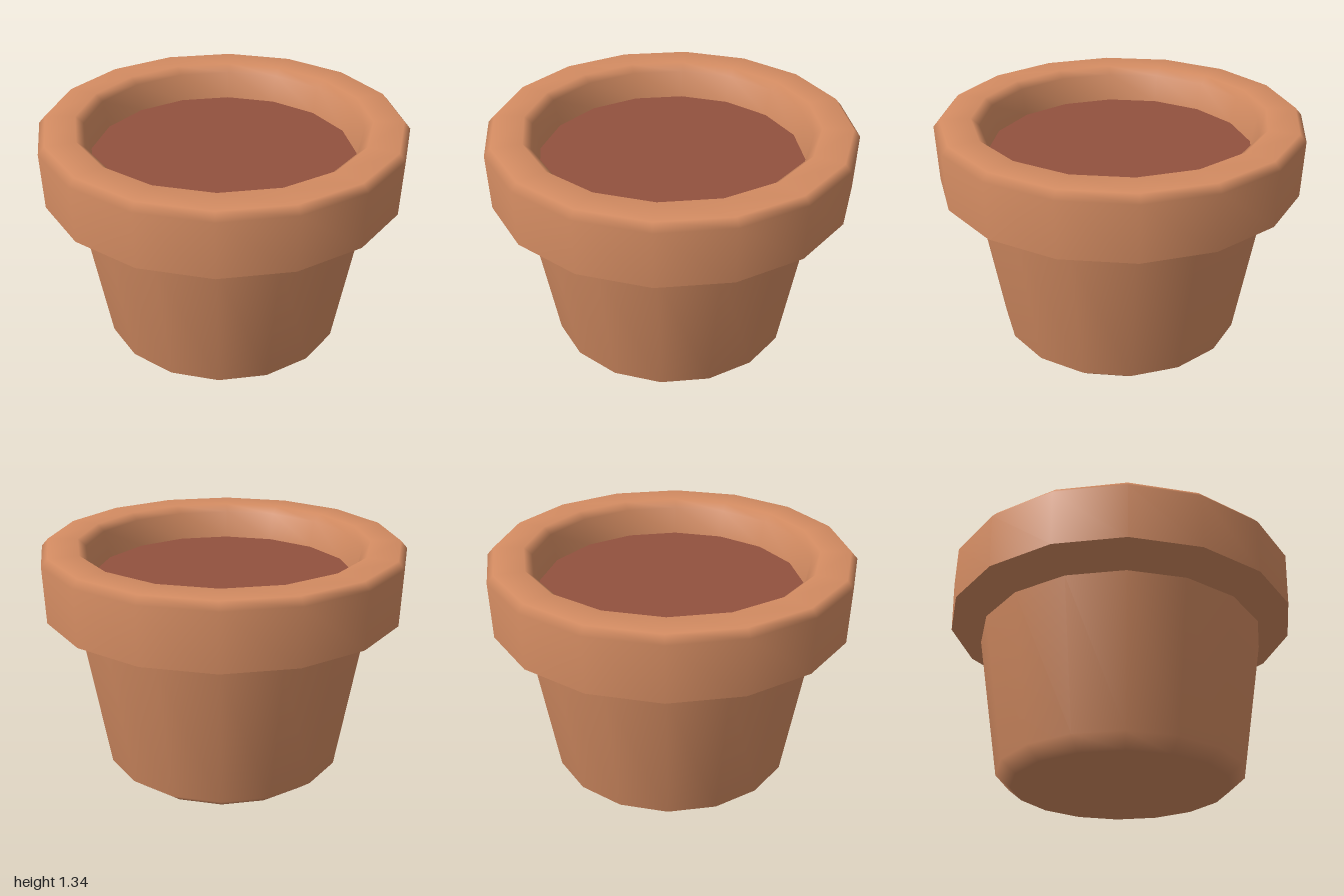
import * as THREE from 'three';

const SIDES = 16;
const TURN = Math.PI / SIDES; // flat sides face the axes
const ROUND = 1 / Math.cos(TURN); // side distance to corner radius

export function createModel() {
  const model = new THREE.Group();
  model.name = 'flowerPot';

  const terracotta = new THREE.MeshStandardMaterial({ color: 0xd48c62 });
  terracotta.name = 'terracotta';
  const earth = new THREE.MeshStandardMaterial({ color: 0x92513e });
  earth.name = 'earth';

  // Turned part; each profile is smooth, with hard edges between parts
  function turned(name, profile, material) {
    const points = profile.map(([r, y]) => new THREE.Vector2(r * ROUND, y));
    const mesh = new THREE.Mesh(new THREE.LatheGeometry(points, SIDES, TURN), material);
    mesh.name = name;
    model.add(mesh);
  }

  // Tapered body with chamfered foot and closed base
  turned('body', [[0, 0], [0.6, 0], [0.683, 0.07], [0.815, 0.9]], terracotta);

  // Sloped underside of the rim
  turned('rimUnderside', [[0.815, 0.9], [0.992, 0.98]], terracotta);

  // Thick rim, over the top and down the inner wall
  turned('rim', [
    [0.992, 0.98], [1, 1.295], [0.965, 1.335],
    [0.8, 1.335], [0.757, 1.295], [0.726, 1.14],
  ], terracotta);

  // Flat soil disc
  const disc = new THREE.CircleGeometry(0.727 * ROUND, SIDES, TURN);
  disc.rotateX(-Math.PI / 2);
  const soil = new THREE.Mesh(disc, earth);
  soil.name = 'soil';
  soil.position.y = 1.14;
  model.add(soil);

  return model;
}
